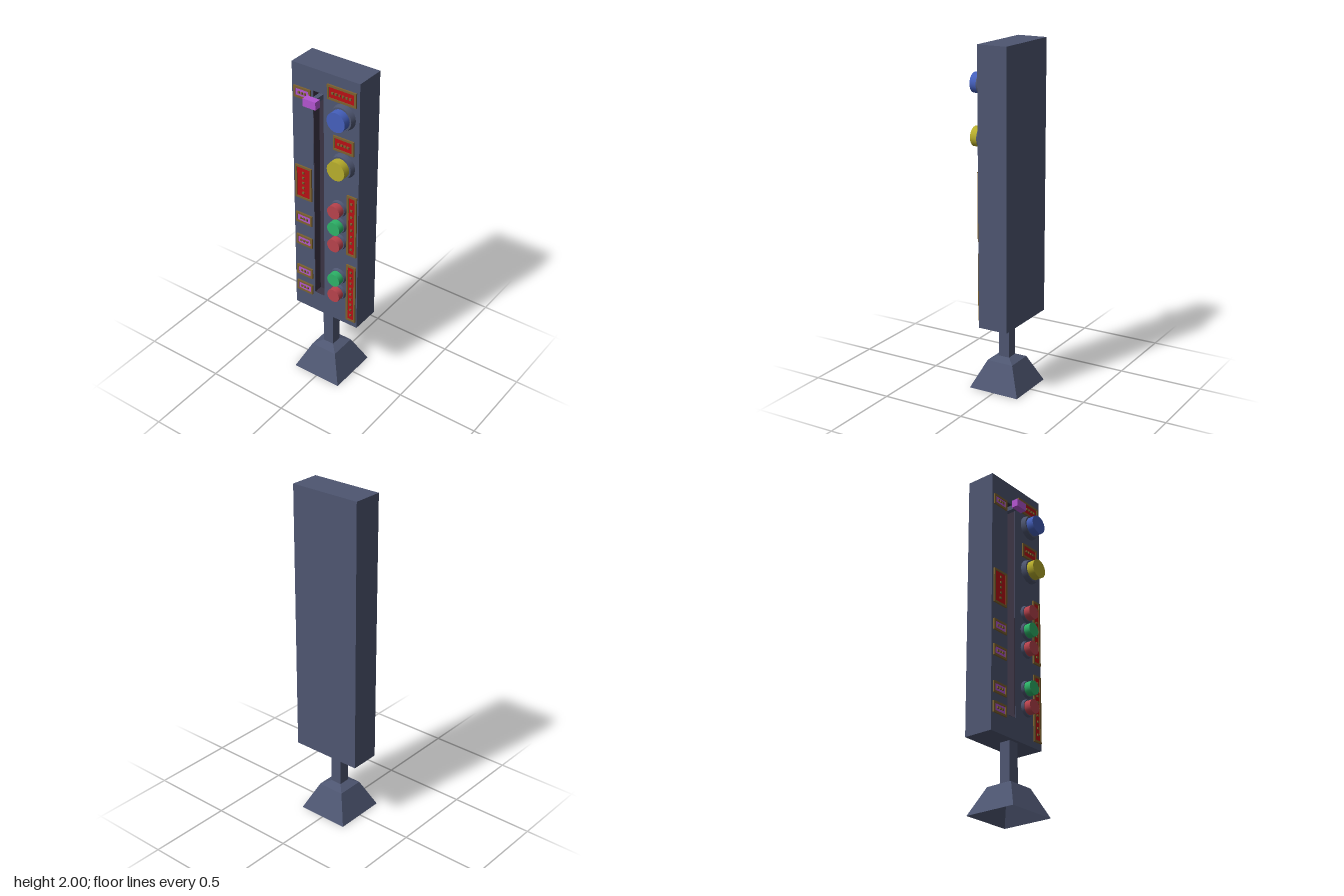
import * as THREE from 'three';

const mat = (name, color, side = THREE.FrontSide) => {
  const m = new THREE.MeshStandardMaterial({ color, side });
  m.name = name;
  return m;
};

export function createModel() {
  const slate = mat('slate', 0x4e5671);
  const slateOpen = mat('slate open shell', 0x4e5671, THREE.DoubleSide);
  const dark = mat('slot dark', 0x3b3444);
  const blue = mat('blue', 0x4560bd);
  const yellow = mat('yellow', 0xb8ae2c);
  const red = mat('red', 0xb8434d);
  const green = mat('green', 0x2db368);
  const purple = mat('purple', 0xb355d0);
  const signRed = mat('sign red', 0xb81014);
  const gold = mat('gold', 0x7c6130);

  const model = new THREE.Group();
  model.name = 'controlColumn';
  const FACE = 0.055, BACK = -0.123, FLOOR = 0.0;

  const add = (parent, name, geo, material, x = 0, y = 0, z = 0) => {
    const m = new THREE.Mesh(geo, material);
    m.name = name;
    m.position.set(x, y, z);
    parent.add(m);
    return m;
  };
  // Box given by its lower and upper limits
  const box = (parent, name, material, x0, x1, y0, y1, z0, z1) =>
    add(parent, name, new THREE.BoxGeometry(x1 - x0, y1 - y0, z1 - z0), material,
      (x0 + x1) / 2, (y0 + y1) / 2, (z0 + z1) / 2);
  const rect = (path, x0, x1, y0, y1) =>
    path.moveTo(x0, y0).lineTo(x1, y0).lineTo(x1, y1).lineTo(x0, y1).closePath();

  // Panel: solid back with a slotted front layer
  const slot = [-0.08, -0.012, 0.54, 1.87];
  const shape = rect(new THREE.Shape(), -0.216, 0.216, 0.412, 2);
  shape.holes.push(rect(new THREE.Path(), ...slot));
  add(model, 'panelFront', new THREE.ExtrudeGeometry(shape, { depth: FACE - FLOOR, bevelEnabled: false }),
    slate, 0, 0, FLOOR);
  box(model, 'panelBack', slate, -0.216, 0.216, 0.412, 2, BACK, FLOOR);

  // Dark lining of the lever slot
  const [sx0, sx1, sy0, sy1] = slot, t = 0.002;
  box(model, 'slotFloor', dark, sx0, sx1, sy0, sy1, FLOOR, FLOOR + t);
  box(model, 'slotWallRight', dark, sx0, sx0 + t, sy0, sy1, FLOOR, FACE - t);
  box(model, 'slotWallLeft', dark, sx1 - t, sx1, sy0, sy1, FLOOR, FACE - t);
  box(model, 'slotEndTop', dark, sx0, sx1, sy1 - t, sy1, FLOOR, FACE - t);
  box(model, 'slotEndBottom', dark, sx0, sx1, sy0, sy0 + t, FLOOR, FACE - t);

  // Sliding lever
  const lever = new THREE.Group();
  lever.name = 'lever';
  model.add(lever);
  box(lever, 'leverStem', slate, -0.06, -0.033, 1.822, 1.85, FLOOR, 0.096);
  box(lever, 'leverKnob', purple, -0.087, -0.006, 1.812, 1.858, 0.095, 0.135);

  // Push buttons: tapered collar with a coloured cap
  const button = (name, x, y, material, collarR, capR, collarZ, capZ, sides) => {
    const g = new THREE.Group();
    g.name = name;
    g.position.set(x, y, FACE);
    g.rotation.x = Math.PI / 2;
    model.add(g);
    const ch = collarZ - FACE, ph = capZ - FACE;
    add(g, 'buttonCollar', new THREE.CylinderGeometry(collarR * 0.9, collarR, ch, sides), slate, 0, ch / 2);
    add(g, 'buttonCap', new THREE.CylinderGeometry(capR, capR, ph, sides), material, 0, ph / 2);
  };
  button('blueButton', 0.118, 1.78, blue, 0.074, 0.057, 0.085, 0.13, 24);
  button('yellowButton', 0.118, 1.485, yellow, 0.074, 0.057, 0.085, 0.13, 16);
  [[1.2, red], [1.09, green], [0.978, red], [0.736, green], [0.625, red]].forEach(([y, m], i) =>
    button('smallButton' + (i + 1), 0.089, y, m, 0.051, 0.041, 0.07, 0.11, 20));

  // Framed sign plates with a row of plain raised studs
  const sign = (name, material, x0, x1, y0, y1, studs, vertical) => {
    const g = new THREE.Group();
    g.name = name;
    model.add(g);
    const b = 0.012;
    const frame = rect(new THREE.Shape(), x0, x1, y0, y1);
    frame.holes.push(rect(new THREE.Path(), x0 + b, x1 - b, y0 + b, y1 - b));
    add(g, 'signFrame', new THREE.ExtrudeGeometry(frame, { depth: 0.009, bevelEnabled: false }), gold, 0, 0, FACE);
    box(g, 'signPlate', material, x0 + b, x1 - b, y0 + b, y1 - b, FACE, FACE + 0.005);
    const cx = (x0 + x1) / 2, cy = (y0 + y1) / 2;
    const span = (vertical ? y1 - y0 : x1 - x0) - 0.05;
    for (let i = 0; i < studs; i++) {
      const d = ((i + 0.5) / studs - 0.5) * span, s = 0.006;
      const px = vertical ? cx : cx + d, py = vertical ? cy + d : cy;
      box(g, 'signStud', gold, px - s, px + s, py - s, py + s, FACE, FACE + 0.012);
    }
  };
  sign('upperSign', signRed, 0.015, 0.198, 1.857, 1.942, 6, false);
  sign('middleSign', signRed, 0.053, 0.186, 1.565, 1.652, 4, false);
  sign('leverSign', signRed, -0.202, -0.092, 1.17, 1.382, 5, true);
  sign('sideSignHigh', signRed, 0.145, 0.208, 0.915, 1.31, 8, true);
  sign('sideSignLow', signRed, 0.145, 0.208, 0.45, 0.845, 9, true);
  [1.835, 1.035, 0.882, 0.665, 0.55].forEach((y, i) =>
    sign('levelMark' + (i + 1), purple, -0.202, -0.092, y - 0.033, y + 0.033, 3, false));

  // Square post and hollow flared foot
  box(model, 'post', slate, -0.034, 0.034, 0.17, 0.42, -0.034, 0.034);
  const frustum = (name, r0, r1, y0, y1) => {
    const k = Math.SQRT2;
    const geo = new THREE.CylinderGeometry(r1 * k, r0 * k, y1 - y0, 4, 1, true).rotateY(Math.PI / 4).toNonIndexed();
    geo.computeVertexNormals();
    add(model, name, geo, slateOpen, 0, (y0 + y1) / 2);
  };
  frustum('foot', 0.157, 0.082, 0, 0.16);
  frustum('footShoulder', 0.082, 0.034, 0.16, 0.182);

  return model;
}
